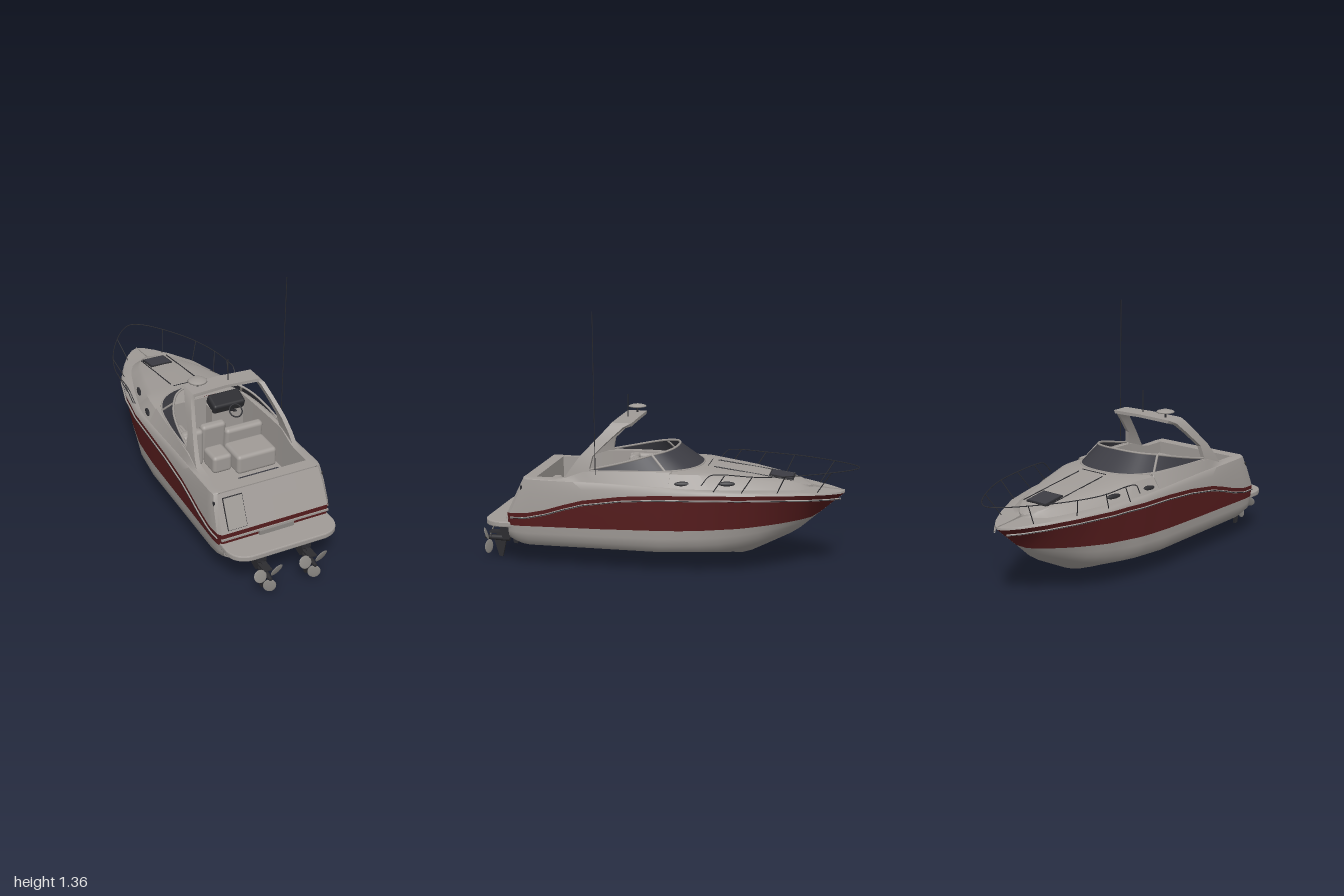
import * as THREE from 'three';
import { mergeGeometries, toCreasedNormals } from 'three/addons/utils/BufferGeometryUtils.js';
import { RoundedBoxGeometry } from 'three/addons/geometries/RoundedBoxGeometry.js';

const mat = (name, color) => new THREE.MeshStandardMaterial({ name, color, side: THREE.DoubleSide });
const V = (p) => new THREE.Vector3(...p);

// piecewise-linear table lookup; z runs from stern (+) to bow (-)
function at(table, z) {
  if (z >= table[0][0]) return table[0][1];
  for (let i = 1; i < table.length; i++) {
    const [z0, v0] = table[i - 1], [z1, v1] = table[i];
    if (z >= z1) return v0 + (v1 - v0) * (z0 - z) / (z0 - z1);
  }
  return table[table.length - 1][1];
}
const BEAM = [[.81, .295], [.79, .312], [.74, .318], [0, .318], [-.2, .313], [-.4, .285], [-.6, .23], [-.75, .155], [-.85, .09], [-.905, .04], [-.925, 0]];
const KEEL = [[.81, .14], [.74, .07], [-.42, .07], [-.68, .2], [-.925, .415]];
const CHINE_W = [[.81, .28], [.77, .295], [0, .298], [-.2, .28], [-.42, .22], [-.55, .155], [-.66, .09], [-.72, .05], [-.78, 0]];
const CHINE_Y = [[.81, .15], [.7, .13], [0, .13], [-.3, .145], [-.5, .18], [-.68, .24], [-.78, .288]];
const BAND = [[.81, .23], [.3, .235], [-.1, .245], [-.4, .26], [-.75, .285]];
const SHEER = [[.81, .297], [.7, .303], [.6, .325], [.5, .357], [.4, .385], [.2, .415], [0, .43], [-.3, .437], [-.6, .435], [-.925, .415]];
const GUNWALE = [[.74, .48], [.3, .475], [0, .467], [-.3, .457], [-.6, .447], [-.925, .425]];
const TRUNK_W = [[.4, .285], [.1, .268], [-.18, .245], [-.4, .19], [-.6, .128], [-.68, .092], [-.72, .062], [-.745, .03], [-.76, 0]];
const TRUNK_Y = [[.52, .485], [.4, .53], [.3, .535], [-.18, .543], [-.45, .515], [-.68, .48], [-.76, .45], [-.925, .42]];
const TRUNK_FLARE = [[-.18, .045], [-.7, .04], [-.745, .025], [-.76, 0]];

const STATIONS = [.81, .79, .765, .74];
for (let i = 0; i <= 28; i++) STATIONS.push(.7 - i * .05);
STATIONS.push(-.725, -.745, -.76, -.8, -.85, -.88, -.905, -.925);

function hullSection(z) {
  const k = at(KEEL, z), b = at(BEAM, z), s = at(SHEER, z);
  const yc = Math.max(k, at(CHINE_Y, z)), yr = Math.max(yc, at(BAND, z));
  const wc = yc > k ? Math.min(at(CHINE_W, z), b) : 0;
  const side = (y) => wc + (b - wc) * Math.pow(Math.max(0, (y - yc) / Math.max(.001, s - yc)), .72);
  const y1 = yc + (yr - yc) * .25, y2 = yc + (yr - yc) * .6, y3 = (yr + s) / 2, d = yc - k;
  return {
    lower: [[0, k, z], [wc * .2, k + d * .06, z], [wc * .6, k + d * .42, z], [wc * .9, k + d * .8, z], [side(y1) - .001, y1, z], [side(y2), y2, z], [side(yr), yr, z]],
    band: [[side(yr), yr, z], [side(y3), y3, z], [b, s, z]],
  };
}
function deckSection(z) {
  const b = at(BEAM, z), s = at(SHEER, z), g = b * .95, yg = at(GUNWALE, z);
  const zt = z - .085 * Math.max(0, (z - .6) / .21);
  const t = Math.max(0, Math.min(at(TRUNK_W, z), g - .008)), h = Math.max(at(TRUNK_Y, z), yg + .006);
  const foot = [Math.max(0, Math.min(t + at(TRUNK_FLARE, z), g - .004)), yg + .003, zt];
  return {
    side: [[b, s, z], [(b * 2 + g) / 3, s + (yg - s) * .6, z + (zt - z) * .6], [g, yg, zt], foot],
    trunk: [foot, [t, h - .012, zt], [t * .88, h - .003, zt], [t * .5, h, zt], [0, h + .002, zt]],
    coaming: [foot, [t, h, zt], [t - .035, h, zt], [t - .04, .3, zt]],
  };
}

// surface through rows of points
function grid(rows, flip = false) {
  const n = rows[0].length, index = [];
  for (let i = 0; i < rows.length - 1; i++) for (let j = 0; j < n - 1; j++) {
    const a = i * n + j, b = a + n, c = a + 1, d = b + 1;
    index.push(...(flip ? [a, c, b, b, c, d] : [a, b, c, b, d, c]));
  }
  const g = new THREE.BufferGeometry();
  g.setAttribute('position', new THREE.Float32BufferAttribute(rows.flat(2), 3));
  g.setIndex(index);
  return g;
}
const crease = (g, a = .65) => toCreasedNormals(g, a);
const flipX = (rows) => rows.map((r) => r.map(([x, y, z]) => [-x, y, z]));
const mirrored = (rows, a) => crease(mergeGeometries([grid(rows), grid(flipX(rows), true)]), a);
const hoop = (pts) => [...pts, ...pts.slice(0, -1).reverse().map(([x, ...r]) => [-x, ...r])];
const tube = (pts, r, seg = 48) => new THREE.TubeGeometry(new THREE.CatmullRomCurve3(pts.map(V)), seg, r, 6);

export function createModel() {
  const root = new THREE.Group();
  root.name = 'motorboat';
  const white = mat('gelcoat', 0xa09b97), red = mat('hullRed', 0x561c1d), glass = mat('tintedGlass', 0x3c3c43);
  const dark = mat('darkTrim', 0x2c2c30), metal = mat('propellerMetal', 0x8c8985);
  const add = (name, geo, m, p = [0, 0, 0], r = [0, 0, 0], parent = root) => {
    const o = new THREE.Mesh(geo, m);
    o.name = name;
    o.position.set(...p);
    o.rotation.set(...r);
    parent.add(o);
    return o;
  };
  const box = (name, m, size, p, r, rad = 0) => add(name, rad ? new RoundedBoxGeometry(...size, 3, rad) : new THREE.BoxGeometry(...size), m, p, r);
  const rod = (name, m, a, b, r) => {
    const A = V(a), d = V(b).sub(A);
    const o = add(name, new THREE.CylinderGeometry(r, r, d.length(), 6), m, A.clone().addScaledVector(d, .5).toArray());
    o.quaternion.setFromUnitVectors(new THREE.Vector3(0, 1, 0), d.normalize());
  };

  // hull and deck shells
  const hull = STATIONS.map(hullSection), deck = STATIONS.map(deckSection);
  add('lowerHull', mirrored(hull.map((h) => h.lower), 1.3), white);
  add('hullBand', mirrored(hull.map((h) => h.band)), red);
  add('topsides', mirrored(deck.map((d) => d.side)), white);
  add('cabinTrunk', mirrored(deck.filter((d, i) => STATIONS[i] < -.04).map((d) => d.trunk)), white);
  add('cockpitCoaming', mirrored(deck.filter((d, i) => STATIONS[i] > -.06).map((d) => d.coaming)), white);

  // transom closes the stern
  const across = (pts) => crease(grid(pts.map(([x, y, z]) => [-1, -.5, 0, .5, 1].map((u) => [x * u, y, z])), true));
  add('transomLower', across(hull[0].lower), white);
  add('transomBand', across(hull[0].band), red);
  add('transomUpper', across(deck[0].side.slice(0, 3)), white);
  box('transomGateFrame', dark, [.106, .165, .006], [-.208, .385, .772], [-.42, 0, 0]);
  box('transomGate', white, [.1, .159, .008], [-.208, .385, .774], [-.42, 0, 0]);
  box('sternStep', metal, [.19, .025, .02], [0, .255, .815]);

  // rub rail
  for (const s of [1, -1]) {
    const pts = STATIONS.filter((z) => z < .8 && z > -.92).map((z) => [s * (at(BEAM, z) + .001), at(SHEER, z) - .025, z]);
    add('rubRail', tube(pts, .005, 80), white);
    add('rubRailInsert', tube(pts.map(([x, y, z]) => [x + s * .0035, y, z]), .0025, 80), dark);
  }
  box('sternRubRail', white, [.6, .01, .01], [0, .268, .812]);

  // swim platform
  const pf = new THREE.Shape();
  pf.moveTo(-.295, .77);
  pf.lineTo(.295, .77);
  pf.lineTo(.295, .86);
  pf.quadraticCurveTo(.285, .94, .2, .95);
  pf.lineTo(-.2, .95);
  pf.quadraticCurveTo(-.285, .94, -.295, .86);
  add('swimPlatform', new THREE.ExtrudeGeometry(pf, { depth: .018, bevelSize: .006, bevelThickness: .006, bevelSegments: 2, curveSegments: 10 }), white, [0, .238, 0], [Math.PI / 2, 0, 0]);

  // cockpit interior
  box('cockpitFloor', white, [.5, .01, .74], [0, .305, .31]);
  box('forwardBulkhead', white, [.5, .235, .01], [0, .42, -.05]);
  box('sternWall', white, [.53, .176, .065], [0, .398, .692]);
  box('floorMat', glass, [.235, .008, .115], [.107, .313, .485], [0, 0, 0], .0035);
  box('sternBench', white, [.35, .11, .05], [.09, .365, .64], [0, 0, 0], .015);
  box('helmSeatBase', white, [.23, .11, .17], [.115, .365, .32], [0, 0, 0], .02);
  box('helmSeatBack', white, [.22, .18, .05], [.12, .405, .22], [.1, 0, 0], .02);
  box('companionSeatBack', white, [.14, .22, .05], [-.05, .43, .2], [.1, 0, 0], .02);
  box('companionSeatBase', white, [.11, .1, .13], [-.055, .36, .28], [0, 0, 0], .02);
  box('loungeBase', white, [.12, .12, .26], [-.18, .37, .11], [0, 0, 0], .02);
  box('loungeSideBack', white, [.04, .2, .3], [-.225, .43, .12], [0, 0, 0], .018);
  box('loungeRearBack', white, [.12, .21, .05], [-.18, .43, .23], [0, 0, 0], .02);
  box('helmConsole', white, [.2, .19, .08], [.135, .4, -.01]);
  box('dashboard', dark, [.19, .06, .1], [.13, .515, .005], [.35, 0, 0], .015);
  add('steeringWheel', new THREE.TorusGeometry(.036, .004, 8, 24), dark, [.145, .5, .095], [-.8, 0, 0]);
  rod('steeringColumn', dark, [.145, .5, .095], [.145, .47, .03], .007);

  // wraparound windshield
  const base = hoop([[.272, .532, .37], [.27, .535, .25], [.26, .537, .12], [.235, .538, -.02], [.18, .54, -.12], [.1, .541, -.17], [0, .542, -.185]]);
  const top = hoop([[.27, .54, .37], [.258, .569, .24], [.235, .596, .13], [.2, .614, .055], [.15, .626, -.01], [.08, .632, -.042], [0, .634, -.05]]);
  const fine = (pts) => new THREE.CatmullRomCurve3(pts.map(V)).getPoints(48).map((p) => p.toArray());
  add('windshieldGlass', crease(grid([fine(base), fine(top)])), glass);
  add('windshieldTopFrame', tube(top, .006, 60), white);
  add('windshieldBaseFrame', tube(base, .006, 60), white);
  for (const i of [3, 9]) rod('windshieldMullion', white, base[i], top[i], .007);

  // radar arch: [x, y, aft z, fore z, inner x, inner y]
  const leg = [[.287, .465, .52, .34, .262, .465], [.278, .54, .47, .37, .254, .54], [.262, .61, .42, .355, .24, .605], [.235, .69, .345, .275, .214, .685],
    [.21, .755, .285, .205, .19, .745], [.19, .775, .27, .165, .18, .758], [0, .78, .265, .16, 0, .764]];
  const archRows = hoop(leg).map(([x, y, a, f, u, v]) => {
    const q = Math.sign(x) * u;
    return [[x, y, a], [x, y, f], [q, v, f], [q, v, a], [x, y, a]];
  });
  add('radarArch', crease(grid(archRows), .5), white);
  rod('radarStem', dark, [-.135, .775, .205], [-.135, .805, .205], .005);
  add('radarDome', new THREE.LatheGeometry([[0, 0], [.03, 0], [.05, .005], [.046, .01], [.025, .017], [0, .019]].map((p) => new THREE.Vector2(...p)), 24), white, [-.135, .802, .205]);
  rod('shortAntenna', dark, [.03, .775, .22], [.03, .9, .22], .0025);
  rod('longAntenna', dark, [.285, .5, .335], [.285, 1.355, .342], .002);

  // bow rail and stanchions
  const half = [[.305, .49, -.22], [.315, .545, -.265], [.312, .553, -.32], [.3, .546, -.5], [.245, .547, -.68], [.145, .549, -.86], [.06, .55, -.965], [0, .55, -.997]];
  add('bowRail', tube(hoop(half), .0025, 120), dark);
  for (const s of [1, -1]) {
    for (const [fx, fz, tx, tz] of [[.292, -.28, .312, -.34], [.268, -.42, .302, -.48], [.215, -.595, .26, -.64], [.11, -.79, .145, -.86]])
      rod('railStanchion', dark, [s * fx, at(GUNWALE, fz), fz], [s * tx, .548, tz], .0025);
    // foredeck grab rails, portholes and stern cleats
    rod('grabRail', dark, [s * .08, at(TRUNK_Y, -.66) + .004, -.66], [s * .08, at(TRUNK_Y, -.25) + .006, -.25], .003);
    for (const z of [-.12, -.34]) {
      const o = add('porthole', new THREE.SphereGeometry(1, 20, 10), dark, [s * (at(TRUNK_W, z) + .027), .488, z], [0, s * .22, s * .55]);
      o.scale.set(.008, .013, .043);
    }
    box('sternCleat', dark, [.006, .03, .012], [s * .302, .43, .73]);
  }
  rod('foredeckCrossbar', dark, [-.08, .546, -.22], [.08, .546, -.22], .002);
  box('deckHatchFrame', dark, [.13, .008, .128], [-.005, .495, -.6], [-.15, 0, 0]);
  box('deckHatchGlass', glass, [.116, .008, .114], [-.005, .497, -.6], [-.15, 0, 0]);

  // twin outdrives, side profiles in (z, y)
  const plate = (pts, w) => new THREE.ExtrudeGeometry(new THREE.Shape(pts.map((p) => new THREE.Vector2(...p))), { depth: w, bevelEnabled: false }).translate(0, 0, -w / 2);
  for (const x of [-.125, .125]) {
    const drive = new THREE.Group();
    drive.name = 'outdrive';
    drive.position.x = x;
    root.add(drive);
    const turn = [0, -Math.PI / 2, 0];
    add('driveHousing', plate([[.815, .19], [.84, .205], [.905, .205], [.905, .15], [.89, .1], [.85, .11], [.815, .15]], .052), dark, [0, 0, 0], turn, drive);
    add('cavitationPlate', plate([[.87, .13], [.97, .135], [.97, .142], [.87, .145]], .045), dark, [0, 0, 0], turn, drive);
    add('driveLeg', plate([[.85, .15], [.92, .15], [.945, .09], [.92, .003], [.9, 0], [.88, .09]], .014), dark, [0, 0, 0], turn, drive);
    add('gearCase', new THREE.CylinderGeometry(.014, .018, .11, 14), dark, [0, .105, .915], [Math.PI / 2, 0, 0], drive);
    add('propellerHub', new THREE.CylinderGeometry(.008, .015, .04, 14), dark, [0, .105, .98], [Math.PI / 2, 0, 0], drive);
    for (const a of [0, 1, 2]) {
      const spin = new THREE.Group();
      spin.name = 'propellerBlade';
      spin.position.set(0, .105, .978);
      spin.rotation.z = Math.PI + .1 + a * Math.PI * 2 / 3;
      drive.add(spin);
      add('blade', new THREE.SphereGeometry(1, 16, 10), metal, [0, .052, 0], [0, .4, 0], spin).scale.set(.033, .038, .004);
    }
  }
  return root;
}
